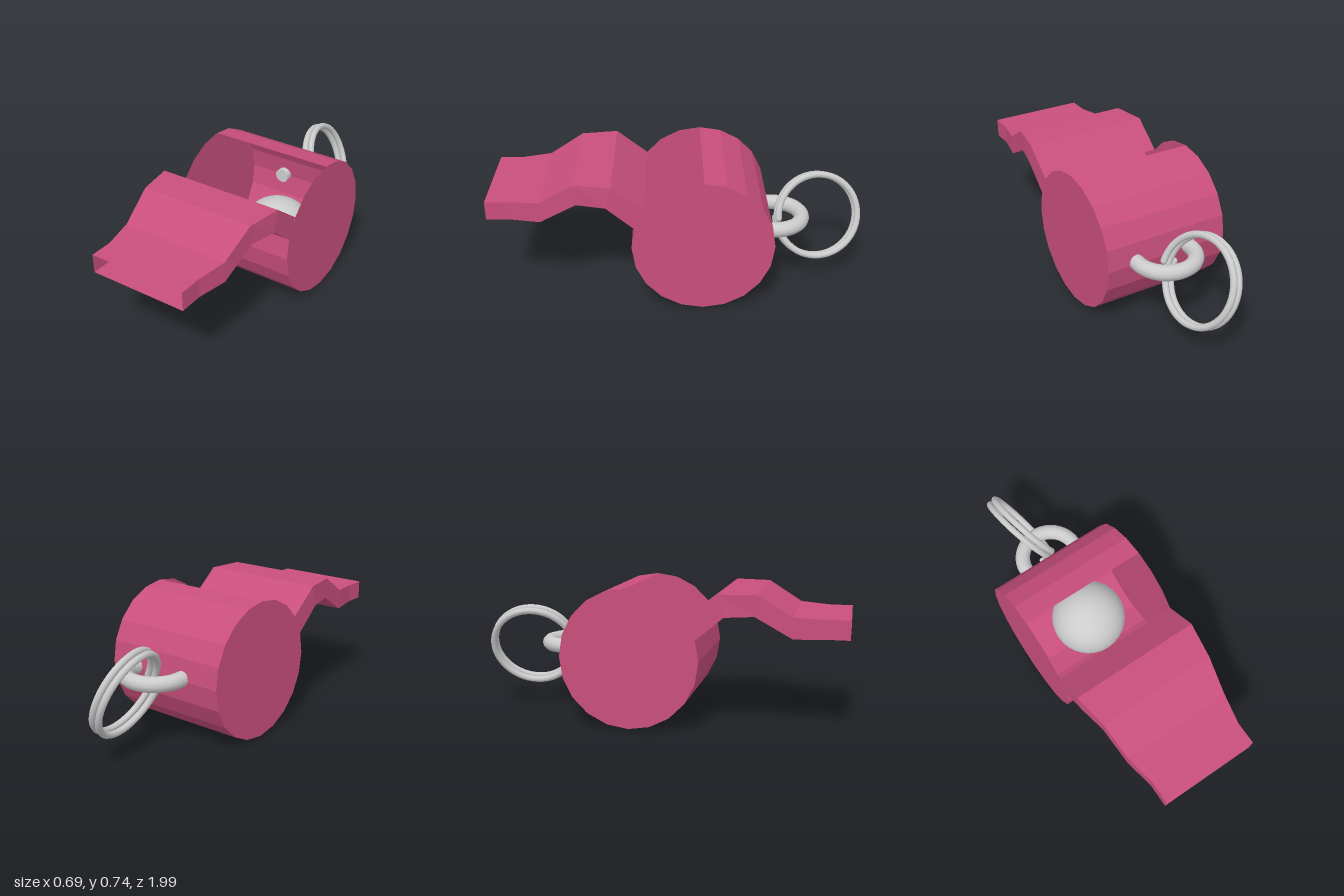
import * as THREE from 'three';

const R = 0.37, CY = 0.37, CZ = -0.115, W = 0.347;

// Geometry from four-cornered faces, each corner [x, y, z]
function quads(list) {
  const pos = [];
  for (const [a, b, c, d] of list) pos.push(...a, ...b, ...c, ...a, ...c, ...d);
  const g = new THREE.BufferGeometry();
  g.setAttribute('position', new THREE.Float32BufferAttribute(pos, 3));
  g.computeVertexNormals();
  return g;
}

// Sheet spanning -w..w along a side profile of [z, y, w]
function strip(profile) {
  const faces = [];
  for (let i = 0; i < profile.length - 1; i++) {
    const [z0, y0, w0] = profile[i], [z1, y1, w1] = profile[i + 1];
    faces.push([[-w0, y0, z0], [w0, y0, z0], [w1, y1, z1], [-w1, y1, z1]]);
  }
  return quads(faces);
}

// Split ring: two turns of a shallow coil
class Coil extends THREE.Curve {
  getPoint(t, target = new THREE.Vector3()) {
    const a = t * Math.PI * 4;
    return target.set(0.225 * Math.cos(a), 0.225 * Math.sin(a), (t - 0.5) * 0.076);
  }
}

export function createModel() {
  const group = new THREE.Group();
  const pink = new THREE.MeshStandardMaterial({ color: 0xc94f7c, flatShading: true, side: THREE.DoubleSide });
  const grey = new THREE.MeshStandardMaterial({ color: 0xcccccc });
  const add = (name, geometry, material) => {
    const mesh = new THREE.Mesh(geometry, material);
    mesh.name = name;
    group.add(mesh);
    return mesh;
  };

  // Mouthpiece profiles, from chamber to lip: [z, y, half width]
  const roof = [[0.184, 0.59, W], [0.35, 0.72, W], [0.54, 0.72, 0.317], [0.72, 0.61, 0.295], [0.88, 0.6, 0.264], [1, 0.6, 0.264]];
  const floor = [[0.237, 0.484, W], [0.38, 0.605, W], [0.53, 0.61, 0.317], [0.72, 0.5, 0.295], [0.88, 0.5, 0.264], [1, 0.5, 0.264]];

  // Chamber wall, open at the sound window and the mouthpiece
  const wall = [];
  for (let k = 0; k <= 16; k++) {
    const a = k * Math.PI / 10;
    wall.push([CZ - R * Math.sin(a), CY + R * Math.cos(a), W]);
  }
  add('chamberWall', strip(wall), pink);

  add('mouthpieceFloor', strip(floor), pink);
  add('mouthpieceRoof', strip([...roof].reverse()), pink);

  // Mirrored mouthpiece sides and chamber end discs
  for (const s of [-1, 1]) {
    const faces = [];
    for (let i = 0; i < roof.length - 1; i++) {
      const at = ([z, y, w]) => [s * w, y, z];
      const f = [at(roof[i]), at(floor[i]), at(floor[i + 1]), at(roof[i + 1])];
      faces.push(s > 0 ? f.reverse() : f);
    }
    const side = s > 0 ? 'left' : 'right';
    add(side + 'MouthpieceSide', quads(faces), pink);

    const disc = add(side + 'EndDisc', new THREE.CircleGeometry(R, 20), pink);
    disc.rotation.y = s * Math.PI / 2;
    disc.position.set(s * W, CY, CZ);
  }

  // Loose ball in the chamber
  add('ball', new THREE.SphereGeometry(0.208, 32, 20), grey).position.set(0.04, 0.215, -0.135);

  // Half-round loop on the back
  const loop = add('loop', new THREE.TorusGeometry(0.155, 0.041, 12, 32, Math.PI), grey);
  loop.rotation.x = -Math.PI / 2;
  loop.position.set(0.03, 0.38, -0.505);
  for (const s of [-1, 1]) {
    const stub = add('loopEnd', new THREE.CylinderGeometry(0.041, 0.041, 0.06, 12), grey);
    stub.rotation.x = Math.PI / 2;
    stub.position.set(0.03 + s * 0.155, 0.38, -0.475);
  }

  // Split ring hanging through the loop, leaning to the right
  const ring = add('splitRing', new THREE.TubeGeometry(new Coil(), 128, 0.018, 8), grey);
  const along = new THREE.Vector3(0.14, 0, 1).normalize();
  const up = new THREE.Vector3(-0.42, 1, 0);
  up.addScaledVector(along, -up.dot(along)).normalize();
  const normal = new THREE.Vector3().crossVectors(along, up);
  ring.quaternion.setFromRotationMatrix(new THREE.Matrix4().makeBasis(along, up, normal));
  ring.position.set(-0.008, 0.36, -0.752);

  // Closed ends of the split ring
  for (const t of [0, 1]) {
    const end = new THREE.Mesh(new THREE.SphereGeometry(0.018, 8, 6), grey);
    end.name = 'splitRingEnd';
    end.position.copy(new Coil().getPoint(t));
    ring.add(end);
  }
  return group;
}
